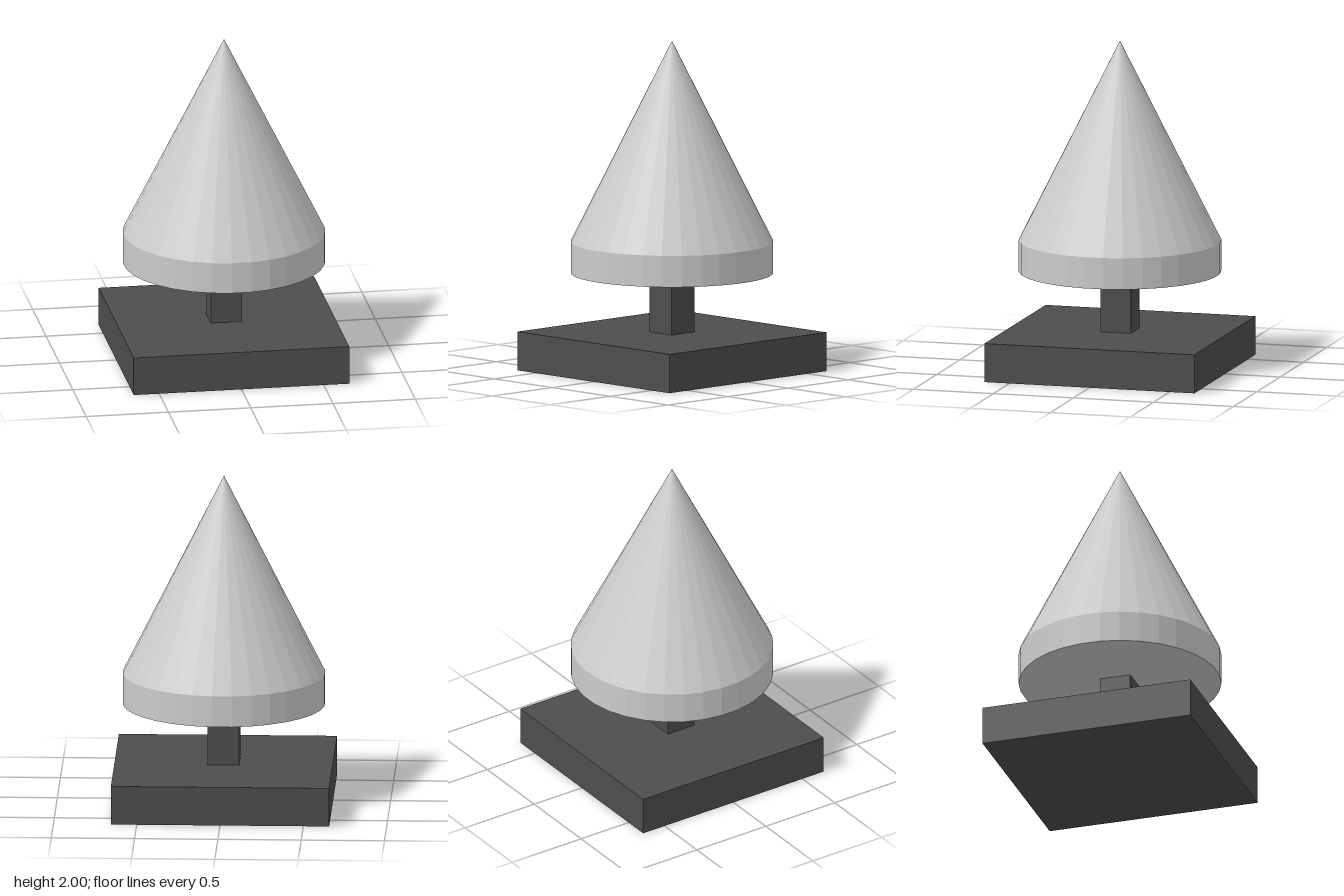
import * as THREE from 'three';

const SIDES = 32;
const TWIST = THREE.MathUtils.degToRad(6.5);

export function createModel() {
  const model = new THREE.Group();
  model.name = 'coneOnStand';
  const light = new THREE.MeshStandardMaterial({ color: 0xcccccc, flatShading: true });
  const dark = new THREE.MeshStandardMaterial({ color: 0x4d4d4d, flatShading: true });

  // Places a geometry centred between two heights.
  const add = (name, geometry, material, bottom, top) => {
    const mesh = new THREE.Mesh(geometry, material);
    mesh.name = name;
    mesh.position.y = (bottom + top) / 2;
    model.add(mesh);
  };

  // Square stand: flat base and stem
  add('base', new THREE.BoxGeometry(1.31, 0.235, 1.31), dark, 0, 0.235);
  add('stem', new THREE.BoxGeometry(0.19, 0.36, 0.19), dark, 0.235, 0.595);

  // Faceted body: short drum with a pointed cone on top
  const radius = 0.608;
  add('drum', new THREE.CylinderGeometry(radius, radius, 0.19, SIDES, 1, false, TWIST), light, 0.595, 0.785);
  add('cone', new THREE.ConeGeometry(radius, 1.215, SIDES, 1, true, TWIST), light, 0.785, 2);

  return model;
}
